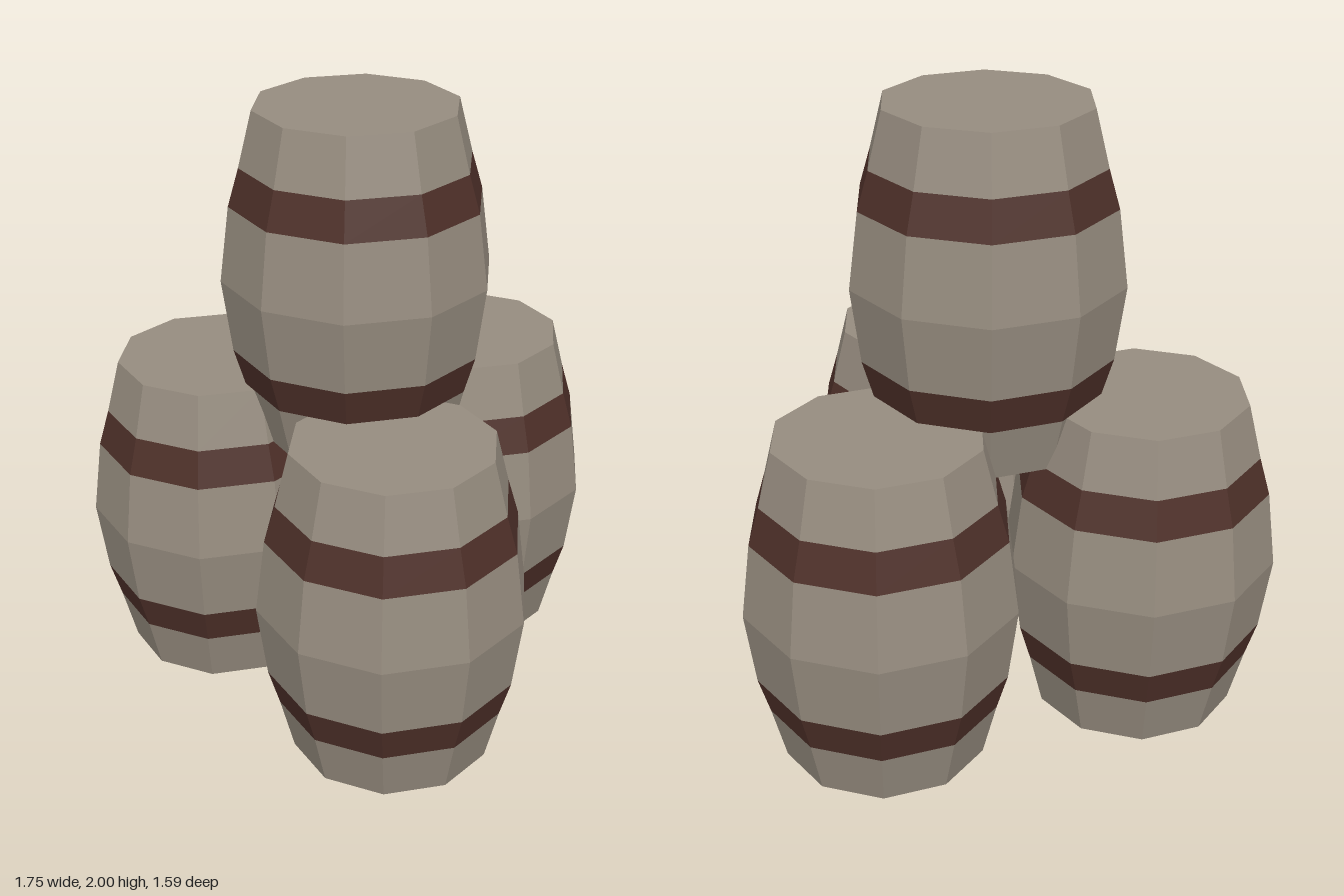
import * as THREE from 'three';

const SIDES = 10;

export function createModel() {
  const wood = new THREE.MeshStandardMaterial({ color: 0x968c7f, flatShading: true });
  wood.name = 'weathered wood';
  const iron = new THREE.MeshStandardMaterial({ color: 0x4e3029, flatShading: true });
  iron.name = 'rusty iron';

  // Barrel profile from bottom to top: [height, radius]
  const profile = [
    [0, 0.327], [0.18, 0.372], [0.303, 0.408], [0.545, 0.44],
    [0.79, 0.408], [0.912, 0.372], [1.09, 0.327],
  ];
  const sections = [
    ['lowerStaves', wood], ['lowerHoop', iron], ['lowerBelly', wood],
    ['upperBelly', wood], ['upperHoop', iron], ['upperStaves', wood],
  ];

  function makeBarrel(name, x, y, z) {
    const barrel = new THREE.Group();
    barrel.name = name;

    // Staves and flush hoops, one ring of facets each
    sections.forEach(([part, material], i) => {
      const [y0, r0] = profile[i];
      const [y1, r1] = profile[i + 1];
      const geometry = new THREE.CylinderGeometry(r1, r0, y1 - y0, SIDES, 1, true, Math.PI / 2);
      geometry.translate(0, (y0 + y1) / 2, 0);
      const mesh = new THREE.Mesh(geometry, material);
      mesh.name = part;
      barrel.add(mesh);
    });

    // Flat lid and base
    for (const [part, [h, r], tilt] of [['lid', profile[6], -1], ['base', profile[0], 1]]) {
      const disc = new THREE.CircleGeometry(r, SIDES);
      disc.rotateX(tilt * Math.PI / 2);
      disc.translate(0, h, 0);
      const mesh = new THREE.Mesh(disc, wood);
      mesh.name = part;
      barrel.add(mesh);
    }

    barrel.position.set(x, y, z);
    return barrel;
  }

  // Three barrels on the ground, one stacked on top
  const model = new THREE.Group();
  model.name = 'barrelStack';
  model.add(
    makeBarrel('frontBarrel', 0, 0, 0.375),
    makeBarrel('backLeftBarrel', 0.435, 0, -0.379),
    makeBarrel('backRightBarrel', -0.435, 0, -0.379),
    makeBarrel('topBarrel', 0, 0.91, -0.125),
  );
  return model;
}
